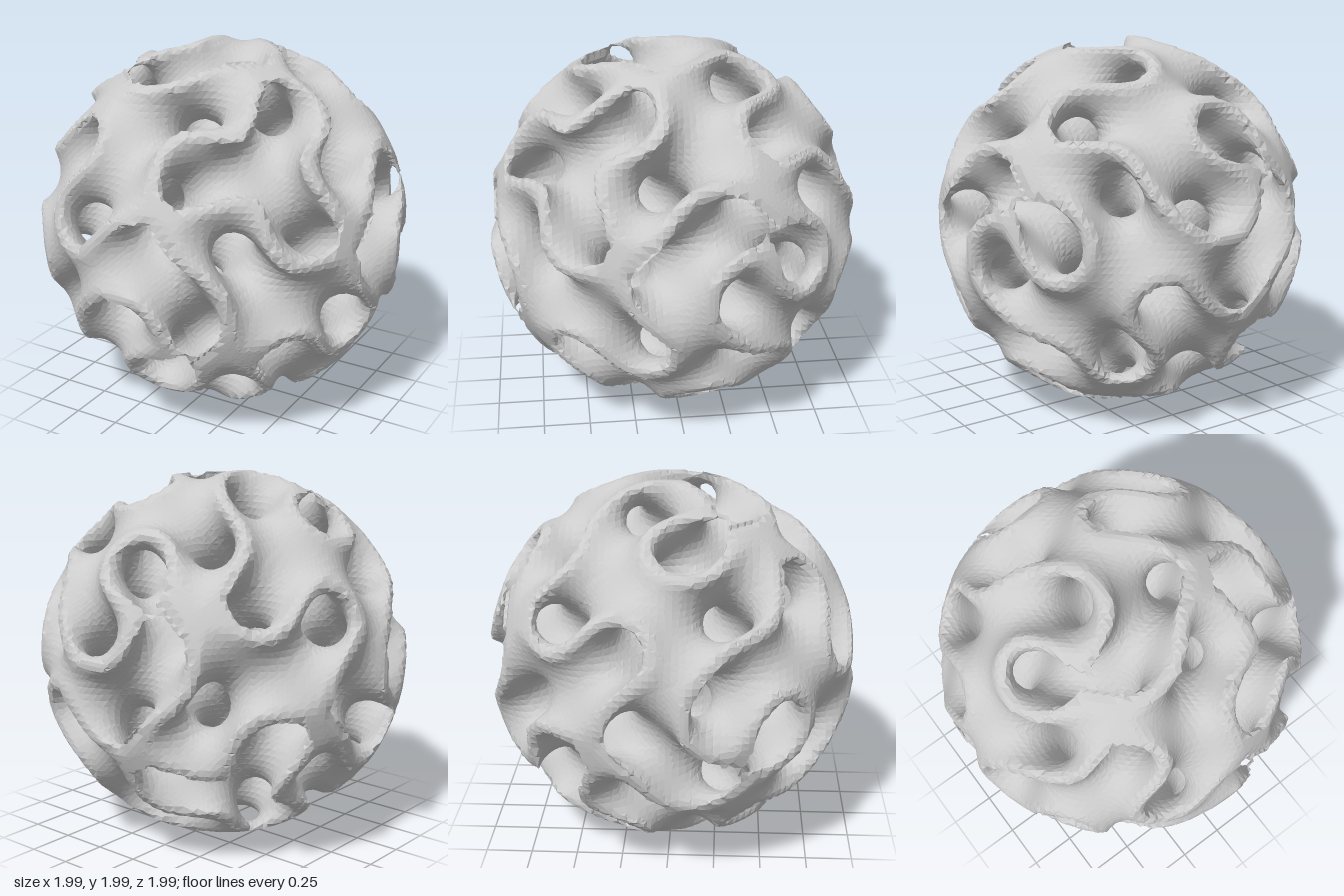
import * as THREE from 'three';

const K = Math.PI / 0.405; // half a lattice period is 0.405 units
const N = 62;              // samples per axis
const EXTENT = 1.06;
const STEP = (2 * EXTENT) / (N - 1);

// Thick gyroid wall that thins toward the rim, cut by a unit ball (negative inside)
function field(x, y, z) {
  const r = Math.hypot(x, y, z);
  const g = Math.sin(K * x) * Math.cos(K * z)
    + Math.sin(K * y) * Math.cos(K * x)
    + Math.sin(K * z) * Math.cos(K * y);
  const s = Math.min(1, Math.max(0, (r - 0.84) / 0.16));
  const wall = 0.78 - 0.42 * s * s;
  return Math.max((Math.abs(g) - wall) / 9, r - 1.003);
}

// Surface nets: one vertex per crossed cell, one quad per crossed grid edge
function buildSurface() {
  const stride = [1, N, N * N];
  const values = new Float32Array(N * N * N);
  const at = (i) => -EXTENT + i * STEP;
  for (let k = 0, n = 0; k < N; k++)
    for (let j = 0; j < N; j++)
      for (let i = 0; i < N; i++) values[n++] = field(at(i), at(j), at(k));

  const vertexOf = new Int32Array(values.length).fill(-1);
  const positions = [];
  const indices = [];

  // Cell vertices at the mean of the edge crossings
  for (let k = 0; k < N - 1; k++)
    for (let j = 0; j < N - 1; j++)
      for (let i = 0; i < N - 1; i++) {
        const cell = i + N * (j + N * k);
        const sum = [0, 0, 0];
        let count = 0;
        for (let a = 0; a < 3; a++) {
          const b = (a + 1) % 3, d = (a + 2) % 3;
          for (let p = 0; p < 2; p++)
            for (let q = 0; q < 2; q++) {
              const n0 = cell + p * stride[b] + q * stride[d];
              const v0 = values[n0], v1 = values[n0 + stride[a]];
              if ((v0 < 0) === (v1 < 0)) continue;
              sum[a] += v0 / (v0 - v1);
              sum[b] += p;
              sum[d] += q;
              count++;
            }
        }
        if (!count) continue;
        vertexOf[cell] = positions.length / 3;
        positions.push(
          at(i + sum[0] / count),
          at(j + sum[1] / count) + 1,
          at(k + sum[2] / count));
      }

  // Quads around the crossed edges, wound to face outward
  for (let k = 1; k < N - 1; k++)
    for (let j = 1; j < N - 1; j++)
      for (let i = 1; i < N - 1; i++) {
        const n = i + N * (j + N * k);
        for (let a = 0; a < 3; a++) {
          const inside = values[n] < 0;
          if (inside === (values[n + stride[a]] < 0)) continue;
          const sb = stride[(a + 1) % 3], sd = stride[(a + 2) % 3];
          const q = [n, n - sb, n - sb - sd, n - sd].map((c) => vertexOf[c]);
          if (!inside) q.reverse();
          indices.push(q[0], q[1], q[2], q[0], q[2], q[3]);
        }
      }

  const geometry = new THREE.BufferGeometry();
  geometry.setAttribute('position', new THREE.Float32BufferAttribute(positions, 3));
  geometry.setIndex(indices);
  geometry.computeVertexNormals();
  return geometry;
}

export function createModel() {
  const group = new THREE.Group();
  group.name = 'gyroidBall';
  const material = new THREE.MeshStandardMaterial({ color: 0xcccccc, flatShading: true });
  const lattice = new THREE.Mesh(buildSurface(), material);
  lattice.name = 'gyroidLattice';
  group.add(lattice);
  return group;
}
